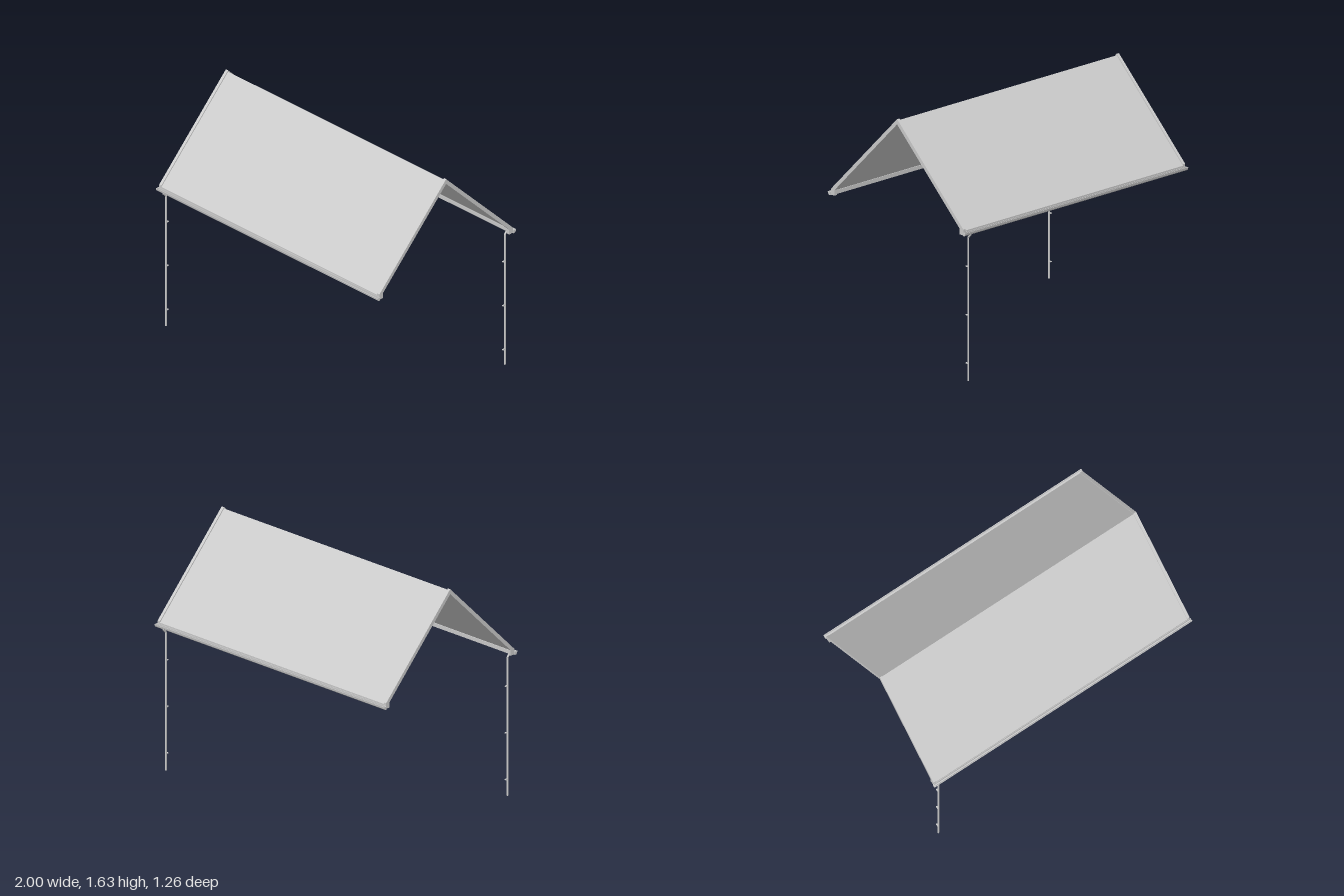
import * as THREE from 'three';

const paint = new THREE.MeshStandardMaterial({ color: 0xcccccc, side: THREE.DoubleSide });
paint.name = 'light grey metal';

// Extrudes a [z, y] outline along x, centred on x = cx
function profile(name, points, length, cx = 0) {
  const shape = new THREE.Shape(points.map(([z, y]) => new THREE.Vector2(z, y)));
  const geo = new THREE.ExtrudeGeometry(shape, { depth: length, bevelEnabled: false });
  geo.translate(0, 0, -length / 2).rotateY(-Math.PI / 2).translate(cx, 0, 0);
  const mesh = new THREE.Mesh(geo, paint);
  mesh.name = name;
  return mesh;
}

function box(name, w, h, d, x, y, z) {
  const mesh = new THREE.Mesh(new THREE.BoxGeometry(w, h, d), paint);
  mesh.position.set(x, y, z);
  mesh.name = name;
  return mesh;
}

// Round pipe section between two points
function pipe(name, a, b, r) {
  const dir = b.clone().sub(a);
  const mesh = new THREE.Mesh(new THREE.CylinderGeometry(r, r, dir.length(), 12), paint);
  mesh.position.copy(a).add(b).multiplyScalar(0.5);
  mesh.quaternion.setFromUnitVectors(new THREE.Vector3(0, 1, 0), dir.normalize());
  mesh.name = name;
  return mesh;
}

// Downpipe with an offset elbow and wall brackets
function downpipe(x) {
  const g = new THREE.Group();
  g.name = 'downpipe';
  const r = 0.0065;
  const bend = new THREE.Vector3(x, 0.962, 0.591);
  g.add(pipe('pipeShaft', new THREE.Vector3(x, 0, 0.591), bend, r));
  g.add(pipe('pipeElbow', bend, new THREE.Vector3(x, 0.988, 0.615), r));
  for (const y of [0.115, 0.44, 0.765]) {
    g.add(box('wallBracket', 0.01, 0.006, 0.018, x, y, 0.579));
  }
  return g;
}

// One slope with its fascia, gutter and downpipe, facing +z
function roofSide(pipeX) {
  const g = new THREE.Group();
  g.name = 'roofSide';
  g.add(profile('roofPanel', [[0, 1.625], [0, 1.611], [0.605, 1.006], [0.605, 1.02]], 1.97));
  g.add(box('fascia', 1.96, 0.026, 0.015, 0, 1.003, 0.5975));

  // Open gutter channel with closed ends
  const outer = [[0.605, 1.01], [0.605, 0.988], [0.617, 0.988], [0.626, 0.996], [0.629, 1.01]];
  const inner = [[0.626, 1.01], [0.623, 0.998], [0.616, 0.991], [0.608, 0.991], [0.608, 1.01]];
  g.add(profile('gutter', [...outer, ...inner], 1.996));
  for (const s of [-1, 1]) g.add(profile('gutterEnd', outer, 0.004, s * 0.998));

  g.add(downpipe(pipeX));
  return g;
}

export function createModel() {
  const model = new THREE.Group();
  model.name = 'gableRoof';

  const front = roofSide(-0.948);
  const back = roofSide(-0.937);
  back.rotation.y = Math.PI;
  model.add(front, back);

  // Gable trim boards with square feet at the eaves
  const half = [[0.605, 1.03], [0.605, 0.991], [0.571, 0.991], [0.571, 1.029]];
  const trim = [
    [0, 1.635], ...half, [0, 1.6],
    ...half.map(([z, y]) => [-z, y]).reverse(),
  ];
  for (const s of [-1, 1]) model.add(profile('gableTrim', trim, 0.02, s * 0.985));

  return model;
}
